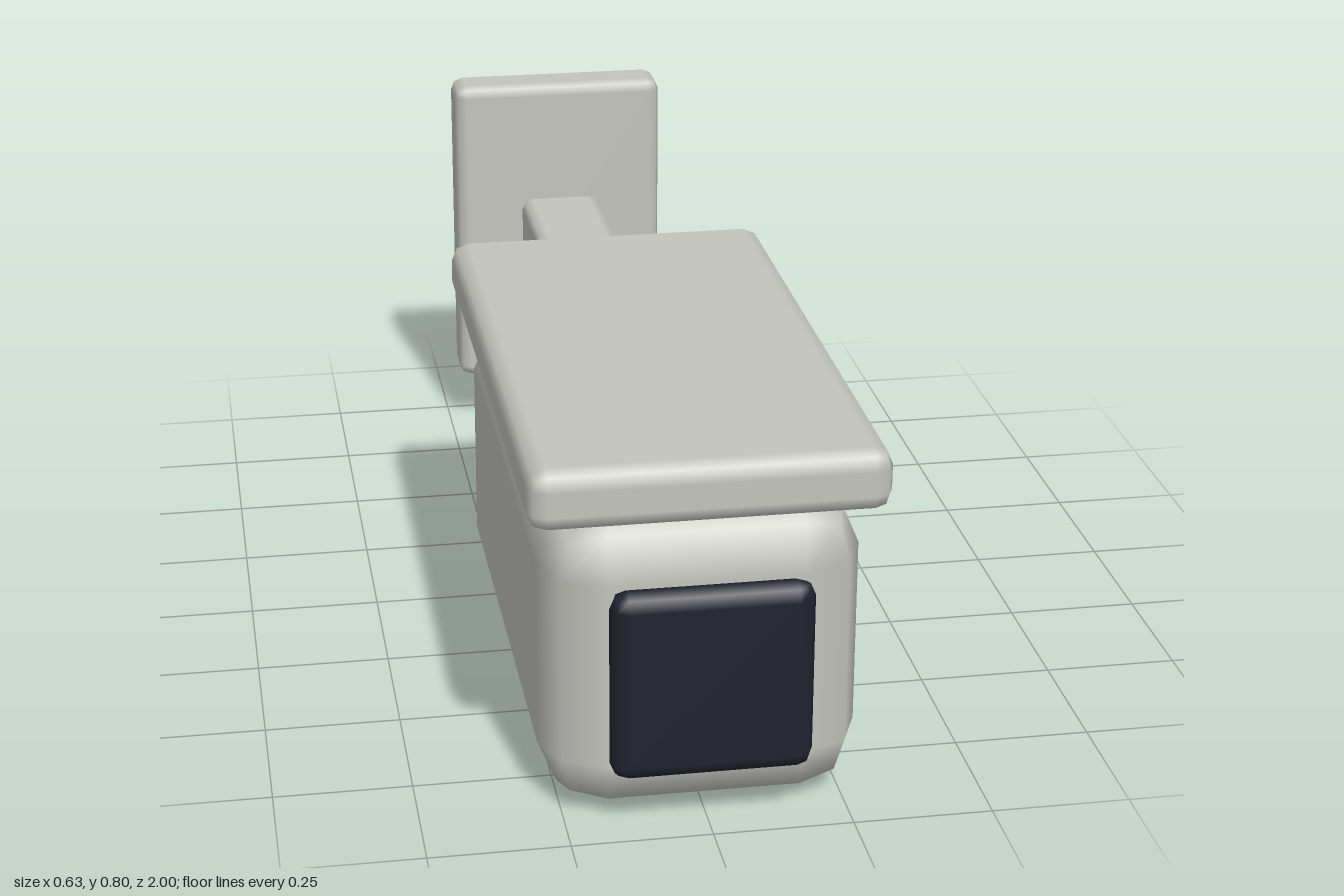
import * as THREE from 'three';
import { RoundedBoxGeometry } from 'three/addons/geometries/RoundedBoxGeometry.js';

export function createModel() {
  const camera = new THREE.Group();
  camera.name = 'securityCamera';

  const casing = new THREE.MeshStandardMaterial({ color: 0xc4c4be });
  casing.name = 'casing grey';
  const glass = new THREE.MeshStandardMaterial({ color: 0x222230 });
  glass.name = 'dark glass';

  // Rounded block given by its [min, max] on each axis, symmetric in x
  function block(name, material, width, [y0, y1], [z0, z1], radius) {
    const geometry = new RoundedBoxGeometry(width, y1 - y0, z1 - z0, 1, radius);
    const mesh = new THREE.Mesh(geometry, material);
    mesh.name = name;
    mesh.position.set(0, (y0 + y1) / 2, (z0 + z1) / 2);
    camera.add(mesh);
  }

  block('body', casing, 0.57, [0, 0.573], [-0.2, 0.94], 0.114);
  block('sunShield', casing, 0.627, [0.573, 0.686], [-0.228, 0.967], 0.034);
  block('lensWindow', glass, 0.356, [0.11, 0.465], [0.937, 1], 0.031);

  // Wall mount
  block('mountArm', casing, 0.17, [0.375, 0.545], [-0.887, -0.2], 0.023);
  block('wallPlate', casing, 0.456, [0.117, 0.8], [-1, -0.886], 0.025);

  return camera;
}
